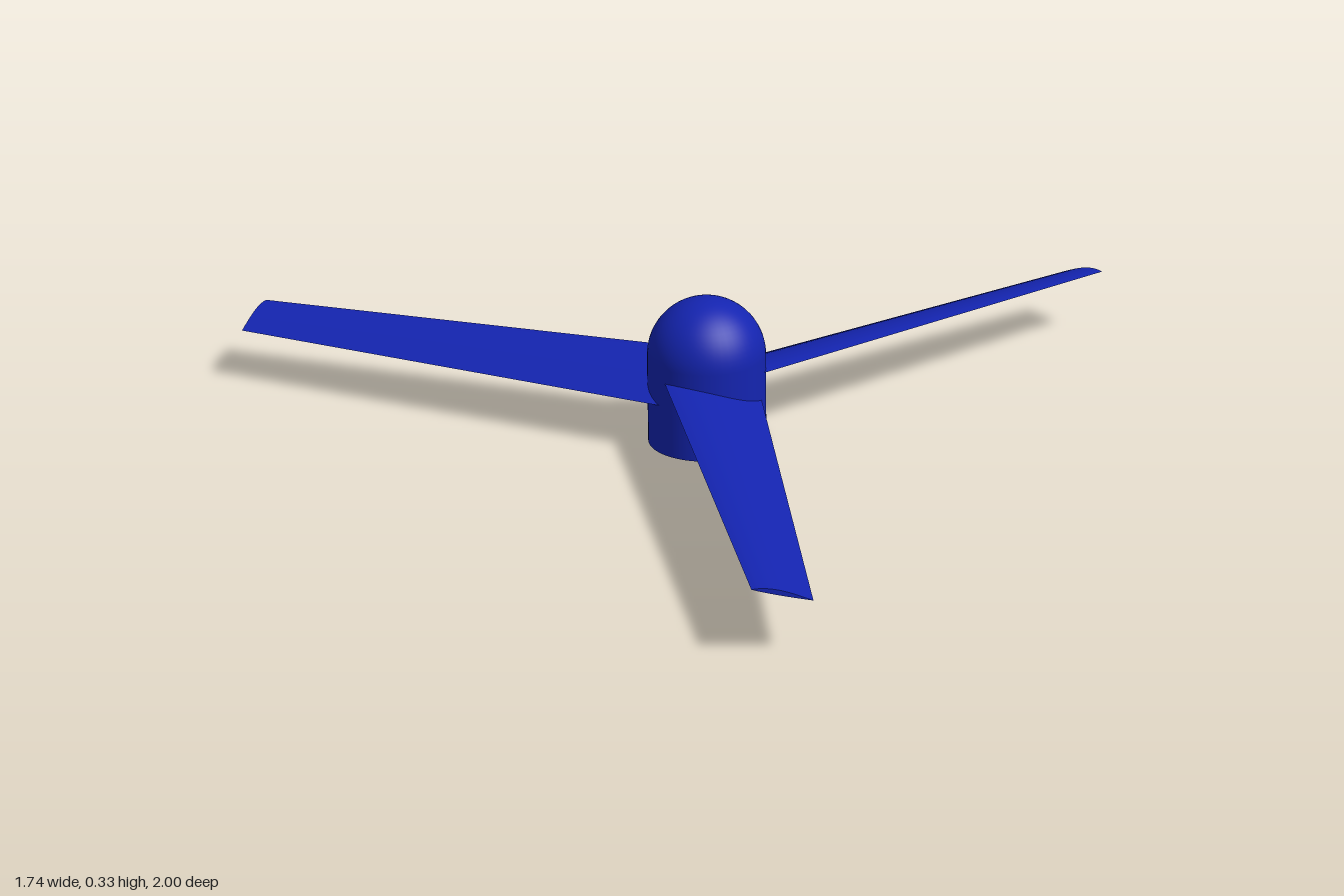
import * as THREE from 'three';
import { toCreasedNormals } from 'three/addons/utils/BufferGeometryUtils.js';

const HUB_R = 0.13, HUB_X = -0.25, HUB_Z = 0.007, BLADE_LEN = 1.12;

// Cambered section, unrolled along the chord, then tapered towards the tip
function bladeGeometry() {
  const chord = 0.22, rise = 0.058, n = 14;
  const point = (u, bulge) => new THREE.Vector2(
    (u - 0.5) * chord,
    (0.5 - u) * rise + bulge * Math.sin(Math.PI * Math.pow(u, 0.8)));
  const outline = [];
  for (let i = 0; i <= n; i++) outline.push(point(i / n, 0.017)); // upper side
  for (let i = n - 1; i > 0; i--) outline.push(point(i / n, -0.003)); // lower side

  const geo = new THREE.ExtrudeGeometry(new THREE.Shape(outline), {
    depth: BLADE_LEN, steps: 4, bevelEnabled: false,
  });
  const p = geo.attributes.position;
  for (let i = 0; i < p.count; i++) {
    const t = p.getZ(i) / BLADE_LEN;
    const s = 1 - 0.45 * t;
    p.setXYZ(i, p.getX(i) * s + 0.005 - 0.018 * t, p.getY(i) * s - 0.004 * t, p.getZ(i));
  }
  geo.rotateY(Math.PI / 2); // span along +x, raised edge on +z
  return toCreasedNormals(geo, 0.6);
}

export function createModel() {
  const group = new THREE.Group();
  group.name = 'propeller';
  const material = new THREE.MeshStandardMaterial({ color: 0x1424b0, side: THREE.DoubleSide });

  // Hub: open-bottomed sleeve with a domed cap
  const profile = [new THREE.Vector2(HUB_R, 0)];
  for (let i = 0; i <= 16; i++) {
    const a = (i / 16) * Math.PI / 2;
    profile.push(new THREE.Vector2(HUB_R * Math.cos(a), 0.2 + HUB_R * Math.sin(a)));
  }
  const hub = new THREE.Mesh(new THREE.LatheGeometry(profile, 48), material);
  hub.name = 'hub';
  hub.position.set(HUB_X, 0, HUB_Z);
  group.add(hub);

  // Three pitched blades around the hub
  const geo = bladeGeometry();
  for (let i = 0; i < 3; i++) {
    const blade = new THREE.Mesh(geo, material);
    blade.name = `blade${i + 1}`;
    blade.position.set(HUB_X, 0.14, HUB_Z);
    blade.rotation.y = (i * 2 * Math.PI) / 3;
    group.add(blade);
  }
  return group;
}
